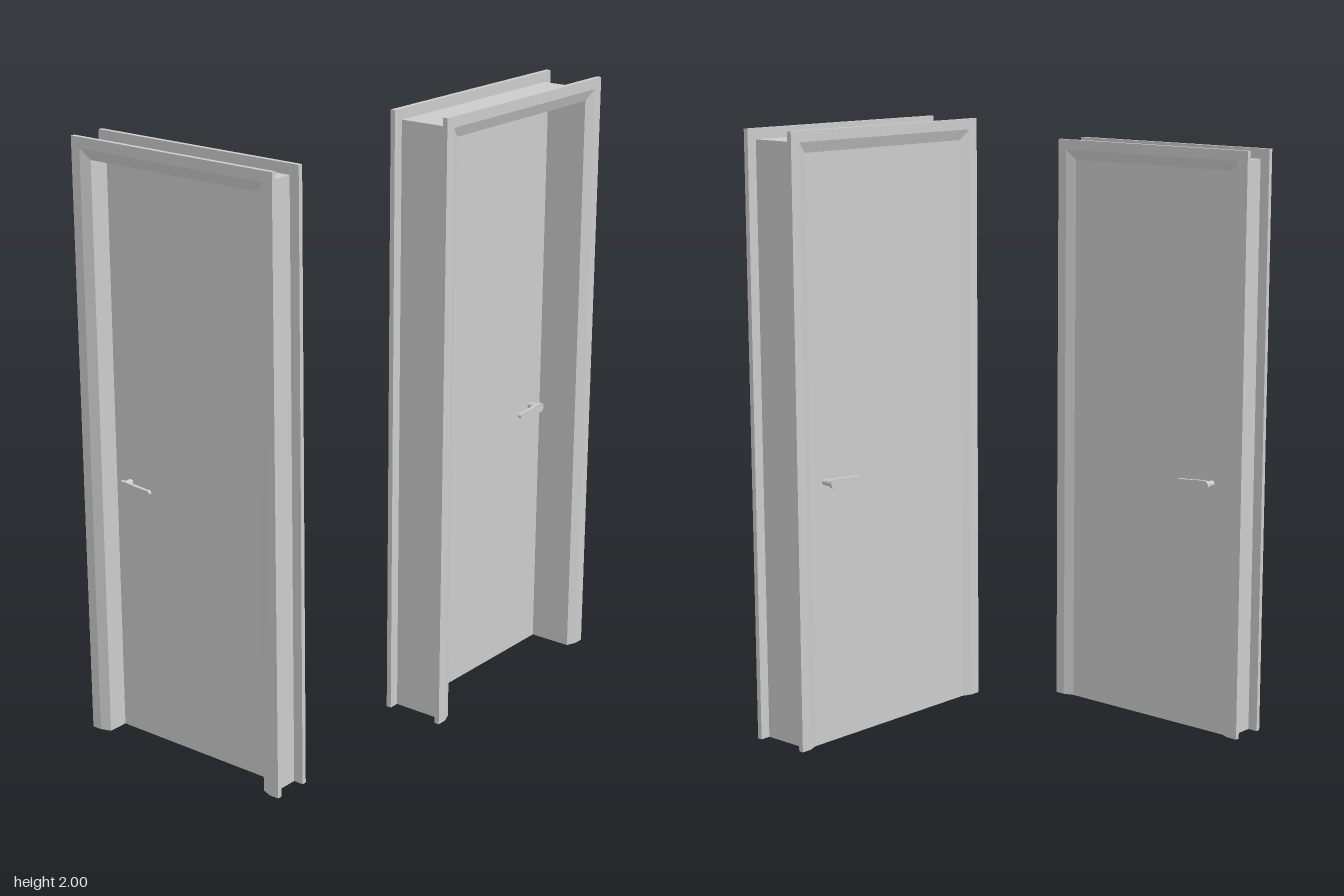
import * as THREE from 'three';

const material = new THREE.MeshStandardMaterial({ color: 0xcccccc });
const FLAT = 0.033;   // flat outer band of the casing
const INNER = 0.066;  // casing width, bevel included

function addMesh(parent, name, geometry, x = 0, y = 0, z = 0) {
  const mesh = new THREE.Mesh(geometry, material);
  mesh.name = name;
  mesh.position.set(x, y, z);
  parent.add(mesh);
  return mesh;
}

// Sweeps a convex [inset, z] profile up, over and down a doorway with mitred corners
function archGeometry(width, height, profile) {
  const rings = [[-1, 0], [-1, 1], [1, 1], [1, 0]].map(([side, top]) =>
    profile.map(([inset, z]) => [side * (width / 2 - inset), top * (height - inset), z]));
  const n = profile.length;
  const positions = [];
  const triangle = (...corners) => corners.forEach((p) => positions.push(...p));
  for (let i = 0; i < 3; i++) {
    for (let j = 0; j < n; j++) {
      const k = (j + 1) % n;
      const a = rings[i][j], b = rings[i + 1][j], c = rings[i + 1][k], d = rings[i][k];
      triangle(a, c, b);
      triangle(a, d, c);
    }
  }
  // Closed feet
  for (let k = 1; k < n - 1; k++) {
    triangle(rings[0][0], rings[0][k + 1], rings[0][k]);
    triangle(rings[3][0], rings[3][k], rings[3][k + 1]);
  }
  const geometry = new THREE.BufferGeometry();
  geometry.setAttribute('position', new THREE.Float32BufferAttribute(positions, 3));
  geometry.computeVertexNormals();
  return geometry;
}

// Tapered lever on a round spindle; the lever points to -x
function makeHandle(name, reach) {
  const handle = new THREE.Group();
  handle.name = name;
  const outline = new THREE.Shape();
  outline.moveTo(0, -0.015);
  outline.absarc(0, 0, 0.015, -Math.PI / 2, Math.PI / 2, false);
  outline.bezierCurveTo(-0.03, 0.015, -0.06, 0.009, -0.106, 0.008);
  outline.absarc(-0.106, 0, 0.008, Math.PI / 2, Math.PI * 1.5, false);
  outline.bezierCurveTo(-0.06, -0.009, -0.03, -0.015, 0, -0.015);
  const thickness = 0.011;
  addMesh(handle, 'lever', new THREE.ExtrudeGeometry(outline,
    { depth: thickness, bevelEnabled: false, curveSegments: 12 }), 0, 0, reach - thickness);
  const length = reach - thickness;
  const spindle = new THREE.CylinderGeometry(0.01, 0.01, length, 20).rotateX(Math.PI / 2);
  addMesh(handle, 'spindle', spindle, 0, 0, length / 2);
  return handle;
}

// Door flush with +z at z = 0, frame running back to z = -depth
function makeDoor(name, { width, height, depth, trim, handleX, handleY, reach }) {
  const door = new THREE.Group();
  door.name = name;

  // Bevelled casings on both sides of the wall
  const casing = archGeometry(width, height,
    [[0, trim], [FLAT, trim], [INNER, 0.003], [INNER, 0], [0, 0]]);
  addMesh(door, 'flushCasing', casing, 0, 0, -trim);
  addMesh(door, 'recessedCasing', casing, 0, 0, trim - depth).rotation.y = Math.PI;

  // Lining through the wall
  addMesh(door, 'jamb', archGeometry(width, height,
    [[FLAT, -trim], [INNER, -trim], [INNER, trim - depth], [FLAT, trim - depth]]));

  // Door leaf
  const leafDepth = 0.04;
  const face = 0.003 - trim;
  const leafHeight = height - INNER;
  addMesh(door, 'leaf', new THREE.BoxGeometry(width - 2 * INNER, leafHeight, leafDepth),
    0, leafHeight / 2, face - leafDepth / 2);

  // A handle on each face, both pointing to the middle of the leaf
  const side = Math.sign(handleX);
  [1, -1].forEach((facing) => {
    const handle = makeHandle(facing > 0 ? 'flushHandle' : 'recessedHandle', reach - face);
    handle.position.set(handleX, handleY, facing > 0 ? face : face - leafDepth);
    // A half turn about y or z keeps the lever aimed inwards
    if (facing < 0) handle.rotation[side > 0 ? 'x' : 'y'] = Math.PI;
    else if (side < 0) handle.rotation.z = Math.PI;
    door.add(handle);
  });
  return door;
}

export function createModel() {
  const model = new THREE.Group();
  model.name = 'doors';

  // Larger door, recessed side to the front
  const large = makeDoor('largeDoor', {
    width: 0.805, height: 1.9, depth: 0.203, trim: 0.016,
    handleX: -0.278, handleY: 0.832, reach: 0.032,
  });
  large.position.set(0.268, 0.098, 0.28);
  large.rotation.y = Math.PI;

  // Smaller door, flush side towards +x
  const small = makeDoor('smallDoor', {
    width: 0.768, height: 1.91, depth: 0.13, trim: 0.015,
    handleX: 0.26, handleY: 0.836, reach: 0.03,
  });
  small.position.set(-0.541, 0, -0.1);
  small.rotation.y = Math.PI / 2;

  model.add(large, small);
  return model;
}
